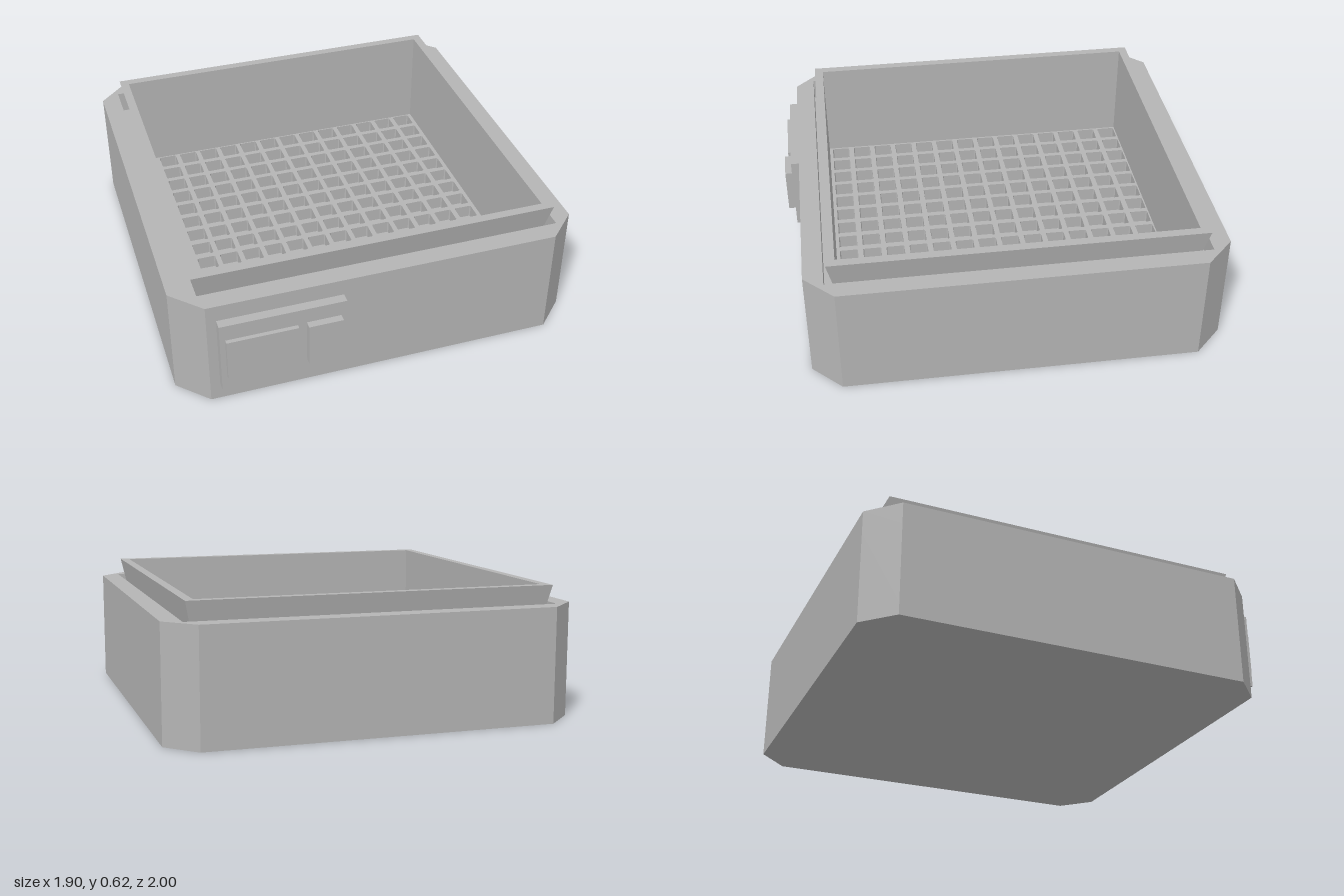
import * as THREE from 'three';

const grey = new THREE.MeshStandardMaterial({ color: 0xb4b4b4 });
grey.name = 'plain grey';

// Closed outline around the origin, with optional cut corners
function outline(hx, hz, cut = 0, Type = THREE.Shape, cx = 0, cz = 0) {
  const pts = cut
    ? [[hx, -hz + cut], [hx, hz - cut], [hx - cut, hz], [-hx + cut, hz],
       [-hx, hz - cut], [-hx, -hz + cut], [-hx + cut, -hz], [hx - cut, -hz]]
    : [[hx, -hz], [hx, hz], [-hx, hz], [-hx, -hz]];
  return new Type(pts.map(([x, z]) => new THREE.Vector2(x + cx, z + cz)));
}

// Stands an outline up from y0 to y1
function slab(shape, holes, y0, y1) {
  shape.holes.push(...holes);
  const g = new THREE.ExtrudeGeometry(shape, { depth: y1 - y0, bevelEnabled: false });
  g.rotateX(-Math.PI / 2);
  g.translate(0, y0, 0);
  return g;
}

export function createModel() {
  const model = new THREE.Group();
  const add = (name, geometry, z = -0.04) => {
    const mesh = new THREE.Mesh(geometry, grey);
    mesh.name = name;
    mesh.position.z = z;
    model.add(mesh);
  };

  const body = () => outline(0.95, 0.96, 0.135);
  const hole = (hx, hz) => outline(hx, hz, 0, THREE.Path);
  const IX = 0.806, IZ = 0.813; // inner tray half sizes
  const LEDGE = 0.43, TOP = 0.535, RIM = 0.62;

  // Housing: base, thick lower wall and wider opening at the top
  add('basePlate', slab(body(), [], 0, 0.06));
  add('lowerWall', slab(body(), [hole(IX, IZ)], 0.06, LEDGE));
  add('upperWall', slab(body(), [hole(0.862, 0.869)], LEDGE, TOP));

  // Rim that flares outward as it rises
  const rim = slab(outline(0.848, 0.855), [hole(IX, IZ)], LEDGE, RIM);
  const p = rim.attributes.position;
  for (let i = 0; i < p.count; i++) {
    if (p.getY(i) < LEDGE + 0.01 && Math.abs(p.getX(i)) > IX + 0.01) {
      p.setX(i, Math.sign(p.getX(i)) * (IX + 0.002));
      p.setZ(i, Math.sign(p.getZ(i)) * (IZ + 0.002));
    }
  }
  rim.computeVertexNormals();
  add('flaredRim', rim);

  // Floor lattice of square openings
  const cells = [];
  for (let i = 0; i < 14; i++) {
    for (let j = 0; j < 14; j++) {
      cells.push(outline(0.045, 0.045, 0.005, THREE.Path,
        -0.005 + (i - 6.5) * 0.1148, 0.005 + (j - 6.5) * 0.1163));
    }
  }
  add('floorLattice', slab(outline(IX, IZ), cells, 0.06, 0.125));

  // Control panel on the front, with a screen and a button
  const plate = (name, x0, x1, y0, y1, z0, z1) => {
    const g = new THREE.BoxGeometry(x1 - x0, y1 - y0, z1 - z0);
    g.translate((x0 + x1) / 2, (y0 + y1) / 2, (z0 + z1) / 2);
    add(name, g, 0);
  };
  plate('controlPanel', -0.77, -0.195, 0.085, 0.455, 0.91, 0.965);
  plate('screen', -0.745, -0.42, 0.167, 0.375, 0.96, 0.985);
  plate('button', -0.38, -0.222, 0.163, 0.38, 0.96, 1.0);

  return model;
}
